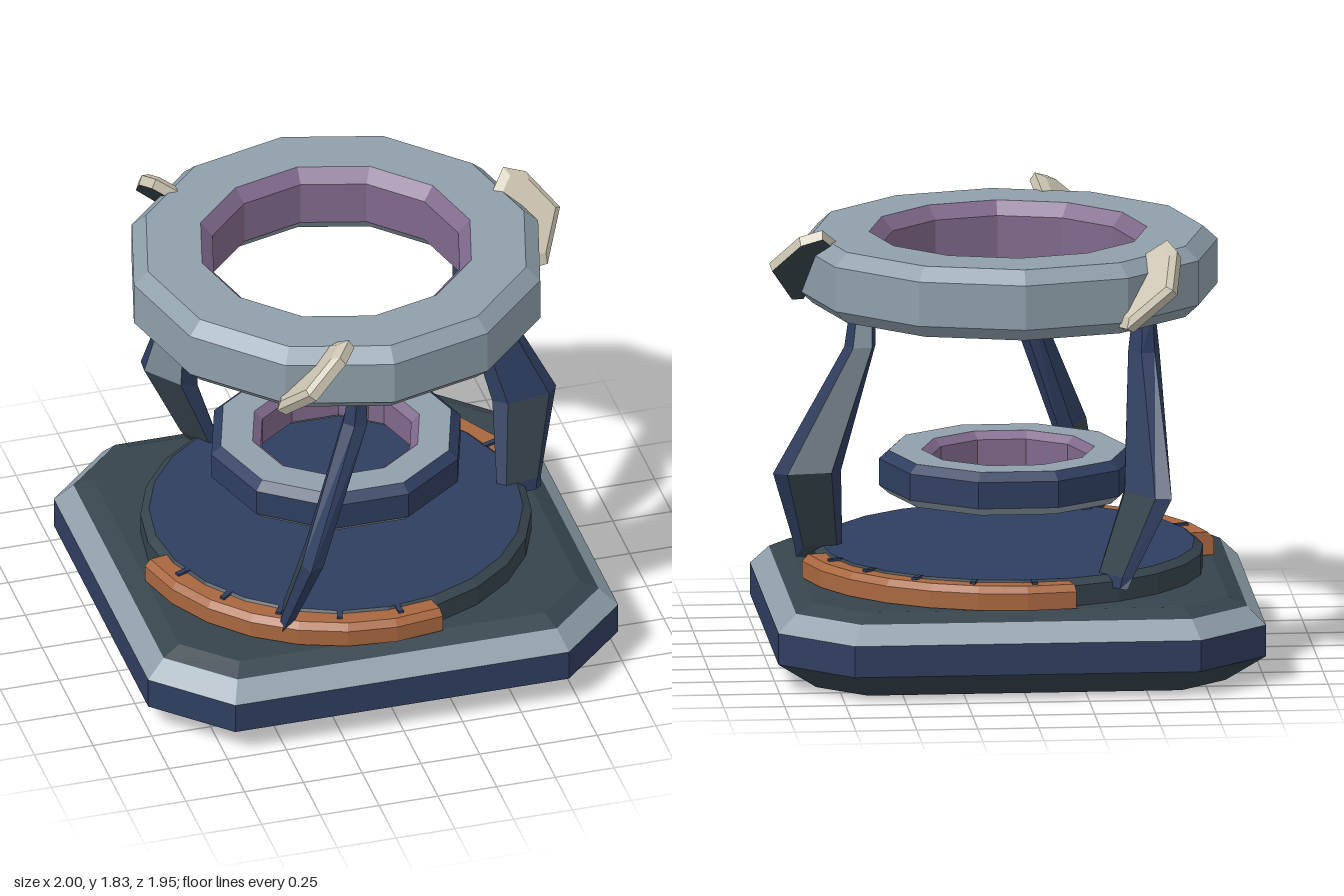
import * as THREE from 'three';

const paint = (name, color) => {
  const m = new THREE.MeshStandardMaterial({ color, flatShading: true });
  m.name = name;
  return m;
};
const navy = paint('navy', 0x2f3e60);
const grey = paint('steelGrey', 0x8f9faa);
const teal = paint('darkTeal', 0x36444c);
const purple = paint('purple', 0x80698c);
const copper = paint('copper', 0xa8673f);
const bone = paint('bone', 0xcbc4b1);

// Skins a row of equal-sized loops; colour(i, j) picks the material of side j
// between loops i and i + 1, caps = [first, last] materials.
function loft(name, loops, colour, caps = []) {
  const buckets = new Map();
  const tri = (mat, ...pts) => {
    if (!buckets.has(mat)) buckets.set(mat, []);
    for (const p of pts) buckets.get(mat).push(p.x, p.y, p.z);
  };
  const n = loops[0].length;
  for (let i = 0; i < loops.length - 1; i++) {
    for (let j = 0; j < n; j++) {
      const k = (j + 1) % n, a = loops[i], b = loops[i + 1], m = colour(i, j);
      tri(m, a[j], a[k], b[k]);
      tri(m, a[j], b[k], b[j]);
    }
  }
  const first = loops[0], last = loops[loops.length - 1];
  for (let j = 1; j < n - 1; j++) {
    if (caps[0]) tri(caps[0], first[0], first[j + 1], first[j]);
    if (caps[1]) tri(caps[1], last[0], last[j], last[j + 1]);
  }
  const geo = new THREE.BufferGeometry(), pos = [], mats = [];
  for (const [mat, list] of buckets) {
    geo.addGroup(pos.length / 3, list.length / 3, mats.length);
    mats.push(mat);
    for (const v of list) pos.push(v);
  }
  geo.setAttribute('position', new THREE.Float32BufferAttribute(pos, 3));
  geo.computeVertexNormals();
  const mesh = new THREE.Mesh(geo, mats);
  mesh.name = name;
  return mesh;
}

const V = (x, y, z) => new THREE.Vector3(x, y, z);

// Regular polygon loop, anticlockwise from above
const circle = (r, y, n) => Array.from({ length: n }, (_, i) => {
  const a = (i / n) * Math.PI * 2;
  return V(r * Math.cos(a), y, -r * Math.sin(a));
});

// Rectangle with cut corners, pulled in by d
function cutRectangle(d, y) {
  const x = 1 - d, z = 0.975 - d, cx = 0.71 - 0.41 * d, cz = 0.695 - 0.41 * d;
  return [[x, cz], [x, -cz], [cx, -z], [-cx, -z], [-x, -cz], [-x, cz], [-cx, z], [cx, z]]
    .map(([px, pz]) => V(px, y, pz));
}

// Ring turned from a closed profile of [radius, y, colour of the band that follows]
function ring(name, sides, profile) {
  const loops = [...profile, profile[0]].map(([r, y]) => circle(r, y, sides));
  return loft(name, loops, (i) => profile[i][2]);
}

// Thin kinked support arm, x pointing outward
function supportArm() {
  // y, inner radius, outer radius, sideways offset, half thickness, edge width
  const stations = [
    [0.41, 0.74, 0.86, 0.13, 0.015, 0.03],
    [0.46, 0.67, 0.87, 0.11, 0.03, 0.03],
    [0.79, 0.70, 0.985, 0.0, 0.045, 0.05],
    [1.34, 0.59, 0.72, -0.15, 0.05, 0.025],
    [1.50, 0.59, 0.70, -0.16, 0.035, 0.025],
  ];
  const loops = stations.map(([y, a, b, z, h, d]) => [
    V(b, y, z), V(b - d, y, z - h), V(a + d, y, z - h),
    V(a, y, z), V(a + d, y, z + h), V(b - d, y, z + h),
  ]);
  const colour = (i, j) => {
    if (j === 1) return i < 2 ? teal : grey;
    return j === 4 && i === 1 ? teal : navy;
  };
  return loft('supportArm', loops, colour, [navy, navy]);
}

// Leaning shard clamped to the rim of the upper ring
function shard() {
  const outline = [[0.83, 1.5], [0.88, 1.5], [1.0, 1.66], [0.9, 1.79], [0.81, 1.82], [0.74, 1.76]];
  const layer = (offset, scale) => outline.map(([x, y]) => {
    const px = 0.87 + (x - 0.87) * scale, py = 1.66 + (y - 1.66) * scale;
    return V(px, py + offset * 0.67, -(py - 1.66) * 0.9 + offset * 0.74);
  });
  return loft('shard', [layer(-0.03, 0.95), layer(0.01, 1), layer(0.03, 0.8)],
    () => bone, [teal, bone]);
}

// Curved copper rail around the dais, with dark notches on top
function rail(startDeg) {
  const g = new THREE.Group();
  g.name = 'copperRail';
  const section = [[0.87, 0.355], [0.74, 0.355], [0.74, 0.452], [0.845, 0.452], [0.87, 0.425]];
  const loops = [];
  for (let i = 0; i <= 7; i++) {
    const a = THREE.MathUtils.degToRad(startDeg + (94 * i) / 7);
    loops.push(section.map(([r, y]) => V(r * Math.cos(a), y, -r * Math.sin(a))));
  }
  g.add(loft('railBody', loops, () => copper, [copper, copper]));
  for (let i = 0; i < 5; i++) {
    const a = THREE.MathUtils.degToRad(startDeg + 11 + i * 18);
    const notch = new THREE.Mesh(new THREE.BoxGeometry(0.06, 0.02, 0.022), navy);
    notch.name = 'railNotch';
    notch.position.set(0.785 * Math.cos(a), 0.452, -0.785 * Math.sin(a));
    notch.rotation.y = a;
    g.add(notch);
  }
  return g;
}

export function createModel() {
  const model = new THREE.Group();
  model.name = 'ringPedestal';

  // Base slab with bevelled edges
  const baseColours = [teal, navy, grey, teal];
  model.add(loft('base',
    [[0.16, 0], [0, 0.11], [0, 0.24], [0.075, 0.315], [0.15, 0.35]].map(([d, y]) => cutRectangle(d, y)),
    (i) => baseColours[i], [teal, teal]));

  // Round dais
  model.add(loft('dais', [circle(0.8, 0.34, 24), circle(0.8, 0.435, 24), circle(0.765, 0.46, 24)],
    () => teal, [null, navy]));

  model.add(rail(-170), rail(10));

  // Small floating ring
  model.add(ring('innerRing', 10, [
    [0.49, 0.67, grey], [0.53, 0.705, navy], [0.53, 0.815, navy], [0.49, 0.85, grey],
    [0.355, 0.85, purple], [0.32, 0.82, purple], [0.32, 0.70, grey], [0.355, 0.67, teal],
  ]));

  // Large upper ring
  model.add(ring('upperRing', 12, [
    [0.8, 1.47, grey], [0.86, 1.525, grey], [0.86, 1.71, grey], [0.8, 1.765, grey],
    [0.57, 1.765, purple], [0.52, 1.71, purple], [0.52, 1.525, grey], [0.57, 1.47, teal],
  ]));

  // Three arms and shards around the axis
  for (let k = 0; k < 3; k++) {
    const g = new THREE.Group();
    g.name = 'armAndShard';
    g.add(supportArm(), shard());
    g.rotation.y = -THREE.MathUtils.degToRad(-8 + 120 * k);
    model.add(g);
  }
  return model;
}
